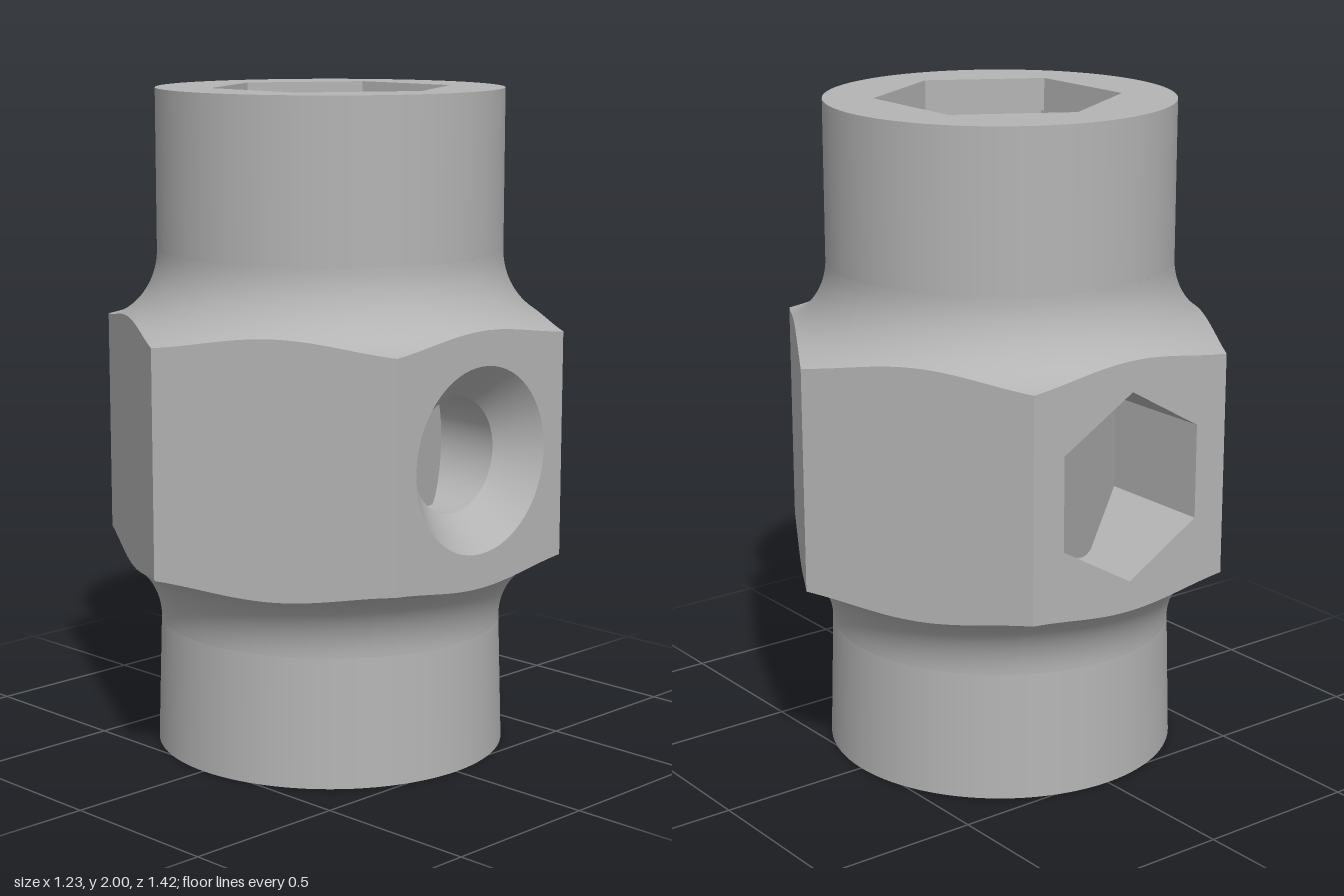
import * as THREE from 'three';

const APOTHEM = 0.617, MID = 0.955;          // hex collar
const NECK = 0.52, FILLET = 0.23, FILLET_Y = 0.565; // neck radius, fillet radius, its height from MID
const BORE_R = 0.172, SINK_R = 0.275, SINK_DEPTH = 0.11, CROSS_R = 0.285;
const LEDGE_Y = 1.9;

const metal = new THREE.MeshStandardMaterial({ color: 0xb4b4b4, side: THREE.DoubleSide });
metal.name = 'grey metal';

const hexPoints = (r, turn = 0, dx = 0) => Array.from({ length: 6 }, (_, k) => {
  const a = turn + k * Math.PI / 3;
  return new THREE.Vector2(dx + r * Math.cos(a), r * Math.sin(a));
});
const TOP_HEX = hexPoints(0.367, 0, 0.007);
const LOW_HEX = hexPoints(0.4, -4 * Math.PI / 180);

// Height of the concave fillet above the collar's middle at radius r
const filletY = r => FILLET_Y - Math.sqrt(FILLET ** 2 - (NECK + FILLET - r) ** 2);

// Surface through closed rings of points
function loft(rings, flat = false) {
  const n = rings[0].length, index = [];
  for (let j = 0; j < rings.length - 1; j++) {
    for (let i = 0; i < n; i++) {
      const a = j * n + i, b = j * n + (i + 1) % n;
      index.push(a, a + n, b, b, a + n, b + n);
    }
  }
  let g = new THREE.BufferGeometry().setFromPoints(rings.flat());
  g.setIndex(index);
  if (flat) g = g.toNonIndexed();
  g.computeVertexNormals();
  return g;
}

// Flat plate lying level at height y; shape axes are x and z
function levelPlate(shape, y, up) {
  const g = new THREE.ShapeGeometry(shape, 64);
  const p = g.attributes.position, index = g.index.array;
  for (let i = 0; i < p.count; i++) p.setXYZ(i, p.getX(i), y, p.getY(i));
  if (up) for (let i = 0; i < index.length; i += 3) [index[i], index[i + 1]] = [index[i + 1], index[i]];
  g.computeVertexNormals();
  return g;
}

// Outline of the round bore and the cross hexagon, as (z, y) about the bore axis
const circle = (r, n = 64) => Array.from({ length: n }, (_, i) =>
  new THREE.Vector2(r * Math.cos(i / n * 2 * Math.PI), r * Math.sin(i / n * 2 * Math.PI)));
const crossHex = hexPoints(CROSS_R, Math.PI / 2);
const crossOutline = crossHex.flatMap((p, k) => Array.from({ length: 12 }, (_, i) =>
  p.clone().lerp(crossHex[(k + 1) % 6], i / 12)));
const bores = {
  right: { corner: 0, reach: BORE_R, half: z => Math.sqrt(Math.max(0, BORE_R ** 2 - z * z)) },
  left: { corner: 3, reach: CROSS_R * Math.sqrt(3) / 2, half: z => CROSS_R - Math.abs(z) / Math.sqrt(3) },
};

// Where a bore meets the main socket wall, at a given z
function socketX(corner, z) {
  const v = LOW_HEX[corner];
  const near = [LOW_HEX[(corner + 1) % 6], LOW_HEX[(corner + 5) % 6]];
  const w = near.find(p => Math.sign(p.y - v.y) === Math.sign(z - v.y)) || near[0];
  return v.x + (w.x - v.x) * (z - v.y) / (w.y - v.y);
}

// One wall of the main socket, notched at its start corner when a bore breaks in
function socketWall(a, b, bore) {
  const out = [[0, 0], [1, 0], [1, LEDGE_Y], [0, LEDGE_Y]];
  if (bore) {
    const end = Math.sign(b.y - a.y) * bore.reach, upper = [];
    for (let i = 0; i <= 24; i++) {
      const z = a.y + (end - a.y) * Math.sin(i / 24 * Math.PI / 2);
      upper.push([(z - a.y) / (b.y - a.y), bore.half(z)]);
    }
    out.push(...upper.map(([u, h]) => [u, MID + h]));
    out.push(...upper.reverse().filter(([, h]) => h > 1e-4).map(([u, h]) => [u, MID - h]));
  }
  const g = new THREE.ShapeGeometry(new THREE.Shape(out.map(p => new THREE.Vector2(...p))));
  const p = g.attributes.position;
  for (let i = 0; i < p.count; i++) {
    const u = p.getX(i);
    p.setXYZ(i, a.x + (b.x - a.x) * u, p.getY(i), a.y + (b.y - a.y) * u);
  }
  g.computeVertexNormals();
  return g;
}

export function createModel() {
  const group = new THREE.Group();
  const add = (name, geometry) => {
    const mesh = new THREE.Mesh(geometry, metal);
    mesh.name = name;
    group.add(mesh);
    return mesh;
  };

  // Round necks
  const topY = MID + FILLET_Y, lowY = MID - FILLET_Y;
  add('upperNeck', new THREE.CylinderGeometry(NECK, NECK, 2 - topY, 96, 1, true)).position.y = (2 + topY) / 2;
  add('lowerNeck', new THREE.CylinderGeometry(NECK, 0.532, lowY, 96, 1, true)).position.y = lowY / 2;

  // Fillets flaring from the necks to the hex collar
  for (const s of [1, -1]) {
    const rings = [];
    for (let j = 0; j <= 16; j++) {
      const ring = [];
      for (let i = 0; i < 144; i++) {
        const a = i / 144 * Math.PI * 2;
        const off = (a + Math.PI / 6) % (Math.PI / 3) - Math.PI / 6;
        const edge = APOTHEM / Math.cos(off);
        const sweep = Math.acos((NECK + FILLET - edge) / FILLET) * j / 16;
        const r = NECK + FILLET * (1 - Math.cos(sweep));
        ring.push(new THREE.Vector3(r * Math.cos(a), MID + s * filletY(r), r * Math.sin(a)));
      }
      rings.push(ring);
    }
    if (s < 0) rings.reverse();
    add(s > 0 ? 'upperFillet' : 'lowerFillet', loft(rings.reverse()));
  }

  // Hex collar flats with scalloped edges; the two side flats are bored
  const halfWidth = APOTHEM / Math.sqrt(3), rim = [];
  for (let i = 0; i <= 24; i++) {
    const x = halfWidth * (1 - i / 12);
    rim.push(new THREE.Vector2(x, filletY(Math.hypot(APOTHEM, x))));
  }
  for (let k = 0; k < 6; k++) {
    const shape = new THREE.Shape([...rim, ...rim.map(p => new THREE.Vector2(-p.x, -p.y))]);
    if (k === 0) shape.holes.push(new THREE.Path(circle(SINK_R)));
    if (k === 3) shape.holes.push(new THREE.Path(crossHex));
    const g = new THREE.ShapeGeometry(shape);
    g.translate(0, 0, APOTHEM);
    g.rotateY(Math.PI / 2 + k * Math.PI / 3);
    add('collarFlat', g).position.y = MID;
  }

  // End faces and the ledge inside the socket
  const plate = (outline, hole) => {
    const shape = new THREE.Shape(outline);
    shape.holes.push(new THREE.Path(hole));
    return shape;
  };
  add('topFace', levelPlate(plate(circle(NECK, 96), TOP_HEX), 2, true));
  add('bottomFace', levelPlate(plate(circle(0.532, 96), LOW_HEX), 0, false));
  add('socketLedge', levelPlate(plate(LOW_HEX, TOP_HEX), LEDGE_Y, false));

  // Hex socket running through the axis
  add('socketMouth', loft([2, LEDGE_Y].map(y => TOP_HEX.map(p => new THREE.Vector3(p.x, y, p.y))), true));
  for (let k = 0; k < 6; k++) {
    const n = (k + 1) % 6;
    const bore = Object.values(bores).find(b => b.corner === k || b.corner === n);
    const [a, b] = bore && bore.corner === n ? [n, k] : [k, n];
    add('socketWall', socketWall(LOW_HEX[a], LOW_HEX[b], bore));
  }

  // Countersunk round bore on one side, hex bore on the other
  const ringAt = (outline, x) => outline.map(p =>
    new THREE.Vector3(typeof x === 'number' ? x : socketX(x.corner, p.x), MID + p.y, p.x));
  const inner = APOTHEM - SINK_DEPTH;
  add('countersink', loft([ringAt(circle(SINK_R), APOTHEM), ringAt(circle(BORE_R), inner)]));
  add('roundBore', loft([ringAt(circle(BORE_R), inner), ringAt(circle(BORE_R), bores.right)]));
  add('hexBore', loft([ringAt(crossOutline, bores.left), ringAt(crossOutline, -APOTHEM)], true));

  return group;
}
